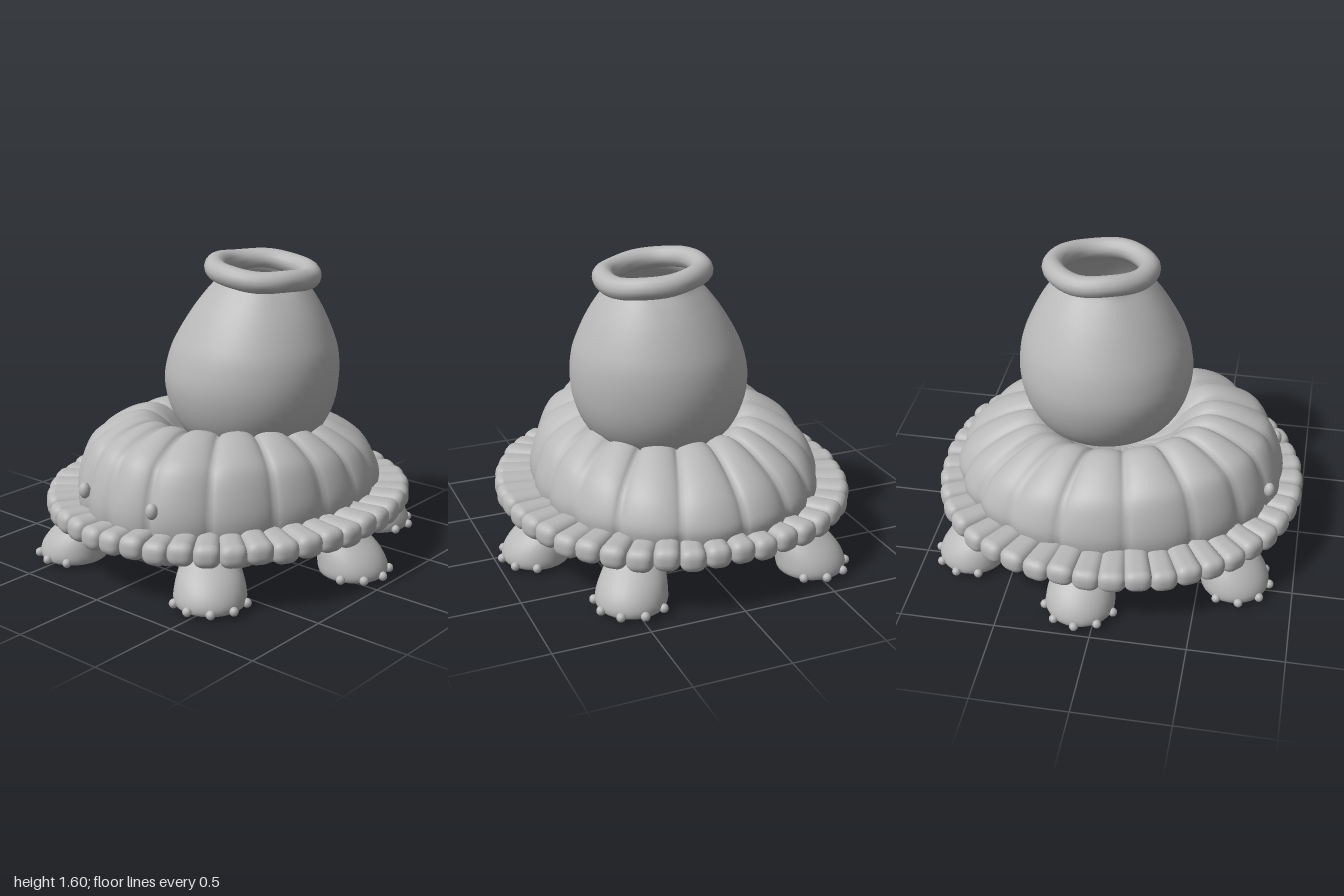
import * as THREE from 'three';
import { mergeVertices } from 'three/addons/utils/BufferGeometryUtils.js';
import { RoundedBoxGeometry } from 'three/addons/geometries/RoundedBoxGeometry.js';

const clay = new THREE.MeshStandardMaterial({ color: 0xb8b8b8, side: THREE.DoubleSide });
clay.name = 'grey clay';

// Move each vertex of a geometry by a rule and refresh its normals.
function moveVertices(geo, rule) {
  const pos = geo.attributes.position, v = new THREE.Vector3();
  for (let i = 0; i < pos.count; i++) {
    rule(v.fromBufferAttribute(pos, i));
    pos.setXYZ(i, v.x, v.y, v.z);
  }
  geo.computeVertexNormals();
  return geo;
}

// Drop seams so that normals run smoothly over the whole surface.
function weld(geo) {
  geo.deleteAttribute('uv');
  geo.deleteAttribute('normal');
  return mergeVertices(geo, 1e-5);
}

// Smooth lathe from a few [radius, height] points, reshaped by a rule.
function turned(points, steps, segments, rule) {
  const curve = new THREE.SplineCurve(points.map(([r, y]) => new THREE.Vector2(r, y)));
  const profile = curve.getPoints(steps).map(p => new THREE.Vector2(Math.max(p.x, 0), p.y));
  return moveVertices(weld(new THREE.LatheGeometry(profile, segments)), rule);
}

function add(parent, name, geo, x = 0, y = 0, z = 0) {
  const mesh = new THREE.Mesh(geo, clay);
  mesh.name = name;
  mesh.position.set(x, y, z);
  parent.add(mesh);
  return mesh;
}

export function createModel() {
  const model = new THREE.Group();
  model.name = 'potCreature';

  // Lobed body: a squashed gourd, a little narrower and taller at the front
  const bodyGeo = turned([
    [0, 0.005], [0.25, 0.012], [0.5, 0.03], [0.7, 0.08], [0.86, 0.17], [0.96, 0.27], [1, 0.38],
    [0.985, 0.48], [0.92, 0.6], [0.83, 0.67], [0.68, 0.735], [0.54, 0.755], [0.42, 0.7], [0.28, 0.58], [0, 0.5],
  ], 46, 216, v => {
    const a = Math.atan2(v.x, v.z), r = Math.hypot(v.x, v.z);
    const wave = Math.abs(Math.sin(9 * (a + 0.06 * Math.sin(3 * a + 1))));
    const groove = (1 - Math.pow(wave, 0.4)) * Math.min(1, r * 2);
    const top = v.y > 0.38;
    const k = 1 - 0.045 * groove;
    const y = 0.38 + (v.y - 0.38) * (1 - 0.13 * groove);
    const lift = top ? 0.07 * v.z * Math.min(1, (v.y - 0.38) * 4) : 0;
    v.set(v.x * 0.755 * k * (1 - 0.07 * v.z), y + lift, v.z * 0.895 * k - 0.01);
  });
  add(model, 'body', bodyGeo);

  // Fringe of plump knobs around the body, broader at the outer end
  const fringe = new THREE.Group();
  fringe.name = 'fringe';
  model.add(fringe);
  const knobGeo = moveVertices(weld(new RoundedBoxGeometry(0.13, 0.125, 0.28, 3, 0.05)), v => {
    v.x *= 1 + 0.5 * v.z;
  });
  const count = 45;
  for (let i = 0; i < count; i++) {
    const a = (i + 0.5) / count * Math.PI * 2;
    const s = Math.sin(a), c = Math.cos(a);
    // the back corners are a little squarer than the front ones
    const bulge = c < 0 ? 1 + 0.045 * Math.sin(2 * a) ** 2 : 1;
    const nx = s / 0.79, nz = c / 0.85, n = Math.hypot(nx, nz);
    const knob = add(fringe, 'knob', knobGeo,
      s * 0.8 * bulge, 0.312 + 0.006 * Math.sin(i * 2.4), c * 0.86 * bulge);
    knob.rotation.y = Math.atan2(nx / n, nz / n);
    knob.scale.x = 1 + 0.09 * Math.abs(s) - 0.06 * Math.abs(c);
  }

  // Six stubby domed legs leaning inward, each with small round toes
  const legGeo = turned([
    [0, 0.02], [0.08, 0.02], [0.16, 0.022], [0.181, 0.05], [0.179, 0.1],
    [0.165, 0.16], [0.142, 0.22], [0.125, 0.28], [0.11, 0.34], [0, 0.36],
  ], 30, 28, v => { v.z -= 2.8 * Math.max(0, v.y - 0.04) ** 2; });
  const toeGeo = new THREE.SphereGeometry(0.024, 10, 8);
  const feet = [['frontLeg', 0.48, 0.69, 0.72], ['middleLeg', 0.79, -0.085, 1.57], ['backLeg', 0.5, -0.735, 2.5]];
  for (const side of [1, -1]) {
    for (const [name, x, z, turn] of feet) {
      const leg = new THREE.Group();
      leg.name = (side > 0 ? 'left ' : 'right ') + name;
      leg.position.set(side * x, 0, z);
      leg.rotation.y = side * turn;
      model.add(leg);
      add(leg, 'foot', legGeo);
      for (const t of [-1.3, -0.65, 0, 0.65, 1.3])
        add(leg, 'toe', toeGeo, Math.sin(t) * 0.186, 0.045, Math.cos(t) * 0.186);
    }
  }

  // Eyes low on the front lobes
  for (const x of [-0.242, 0.225]) {
    const eye = add(model, 'eye', new THREE.SphereGeometry(0.03, 14, 10), x, 0.48, 0.83);
    eye.scale.set(1.05, 1.4, 1);
  }

  // Hollow pot sunk into the back, leaning slightly at the neck
  const potGeo = turned([
    [0, 0.6], [0.2, 0.605], [0.31, 0.635], [0.385, 0.7], [0.442, 0.82], [0.465, 0.96],
    [0.447, 1.1], [0.404, 1.21], [0.345, 1.32], [0.283, 1.41], [0.232, 1.475], [0.222, 1.52],
  ], 36, 48, v => {
    const up = Math.max(0, v.y - 0.96) / 0.56;
    const a = Math.atan2(v.x, v.z);
    const pinch = 1 - 0.03 * up ** 6 * Math.sin(a * 7);
    v.x = v.x * pinch + 0.04 * up;
    v.z = v.z * pinch - 0.03 * up;
  });
  add(model, 'pot', potGeo, 0.093, 0, -0.1);

  // Thick, slightly uneven rolled rim
  const rimGeo = moveVertices(weld(new THREE.TorusGeometry(0.252, 0.056, 14, 48).rotateX(Math.PI / 2)), v => {
    const a = Math.atan2(v.z, v.x);
    v.y += 0.004 * Math.sin(3 * a + 0.6) + 0.003 * Math.sin(5 * a);
  });
  add(model, 'rim', rimGeo, 0.138, 1.522, -0.133).rotation.z = -0.1;

  return model;
}
